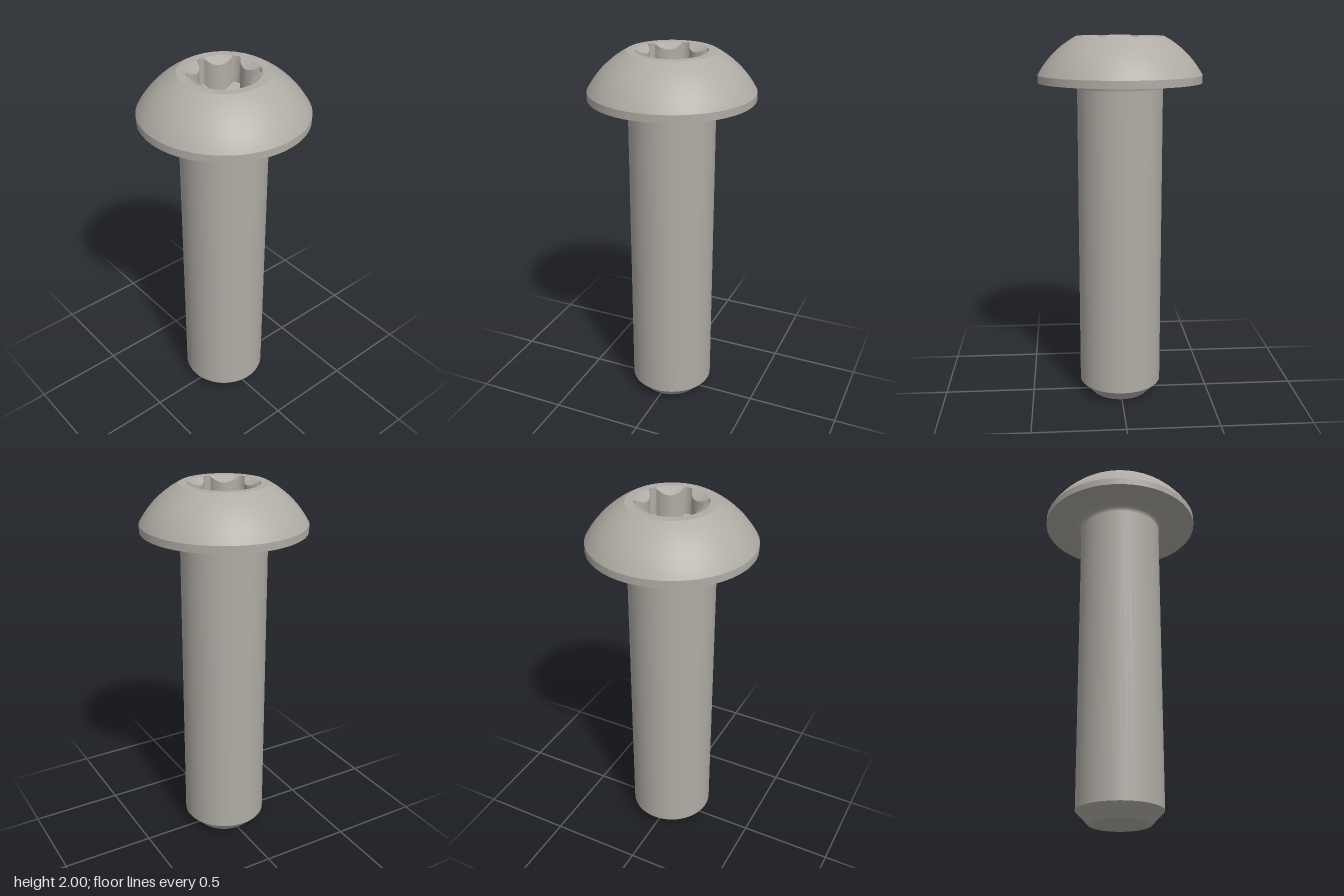
import * as THREE from 'three';

export function createModel() {
  const group = new THREE.Group();
  const steel = new THREE.MeshStandardMaterial({ color: 0xb0aca5 });
  steel.name = 'steel grey';

  const add = (name, geometry) => {
    const mesh = new THREE.Mesh(geometry, steel);
    mesh.name = name;
    group.add(mesh);
  };

  // Each lathe covers one smooth surface, so the edges between them stay sharp
  const turned = (name, points) =>
    add(name, new THREE.LatheGeometry(points.map(([r, y]) => new THREE.Vector2(r, y)), 48));

  // Arc profile in the radius/height plane
  const arc = (cx, cy, radius, from, to, steps) =>
    Array.from({ length: steps + 1 }, (_, i) => {
      const a = from + (to - from) * i / steps;
      return [cx + radius * Math.cos(a), cy + radius * Math.sin(a)];
    });

  // Shank with chamfered tip and a fillet under the head
  const shankR = 0.228, fillet = 0.03, headBase = 1.76, rimTop = 1.8, top = 2;
  turned('tipFace', [[0, 0], [0.16, 0]]);
  turned('tipChamfer', [[0.16, 0], [shankR, 0.07]]);
  turned('shank', [[shankR, 0.07], [shankR, headBase - fillet]]);
  turned('headFillet', arc(shankR + fillet, headBase - fillet, fillet, Math.PI, Math.PI / 2, 6));

  // Button head
  const headR = 0.435, flatR = 0.23, domeY = 1.559;
  turned('headUnderside', [[shankR + fillet, headBase], [headR, headBase]]);
  turned('headRim', [[headR, headBase], [headR, rimTop]]);
  turned('headDome', arc(0, domeY, Math.hypot(headR, rimTop - domeY),
    Math.atan2(rimTop - domeY, headR), Math.atan2(top - domeY, flatR), 14));

  // Six-lobed socket outline as [angle, radius]: scooped flanks and narrow rounded tips
  const tipR = 0.186, outline = [];
  for (let k = 0; k < 6; k++) {
    const turn = k * Math.PI / 3;
    for (let i = -8; i <= 8; i++) {
      const a = i / 8 * THREE.MathUtils.degToRad(50);
      const along = 0.231 - 0.096 * Math.cos(a), across = 0.096 * Math.sin(a);
      outline.push([turn + Math.atan2(across, along), Math.hypot(along, across)]);
    }
    outline.push([turn + Math.PI / 6, tipR]);
  }

  // Skin between rings, listed from outside/top to inside/bottom; ring(r) gives [radius, height]
  const loft = (name, rings) => {
    const n = outline.length, positions = [], index = [];
    rings.forEach((ring, j) => outline.forEach(([t, r], i) => {
      const [radius, y] = ring(r);
      positions.push(radius * Math.cos(t), y, radius * Math.sin(t));
      if (j === 0) return;
      const next = (i + 1) % n, o = (j - 1) * n, p = j * n;
      index.push(o + i, p + i, o + next, o + next, p + i, p + next);
    }));
    const geometry = new THREE.BufferGeometry();
    geometry.setAttribute('position', new THREE.Float32BufferAttribute(positions, 3));
    geometry.setIndex(index);
    geometry.computeVertexNormals();
    add(name, geometry);
  };

  const slope = Math.tan(Math.PI / 6);
  const rimCircle = () => [tipR, top];
  const mouth = r => [r, top - (tipR - r) * slope];
  const floor = scale => r => [r * scale, 1.75 + r * scale * slope];

  loft('headFlat', [() => [flatR, top], rimCircle]);
  loft('socketCountersink', [rimCircle, mouth]);
  loft('socketWall', [mouth, floor(1)]);
  loft('socketFloor', [floor(1), floor(0.5), floor(0.05), floor(0)]);

  return group;
}
